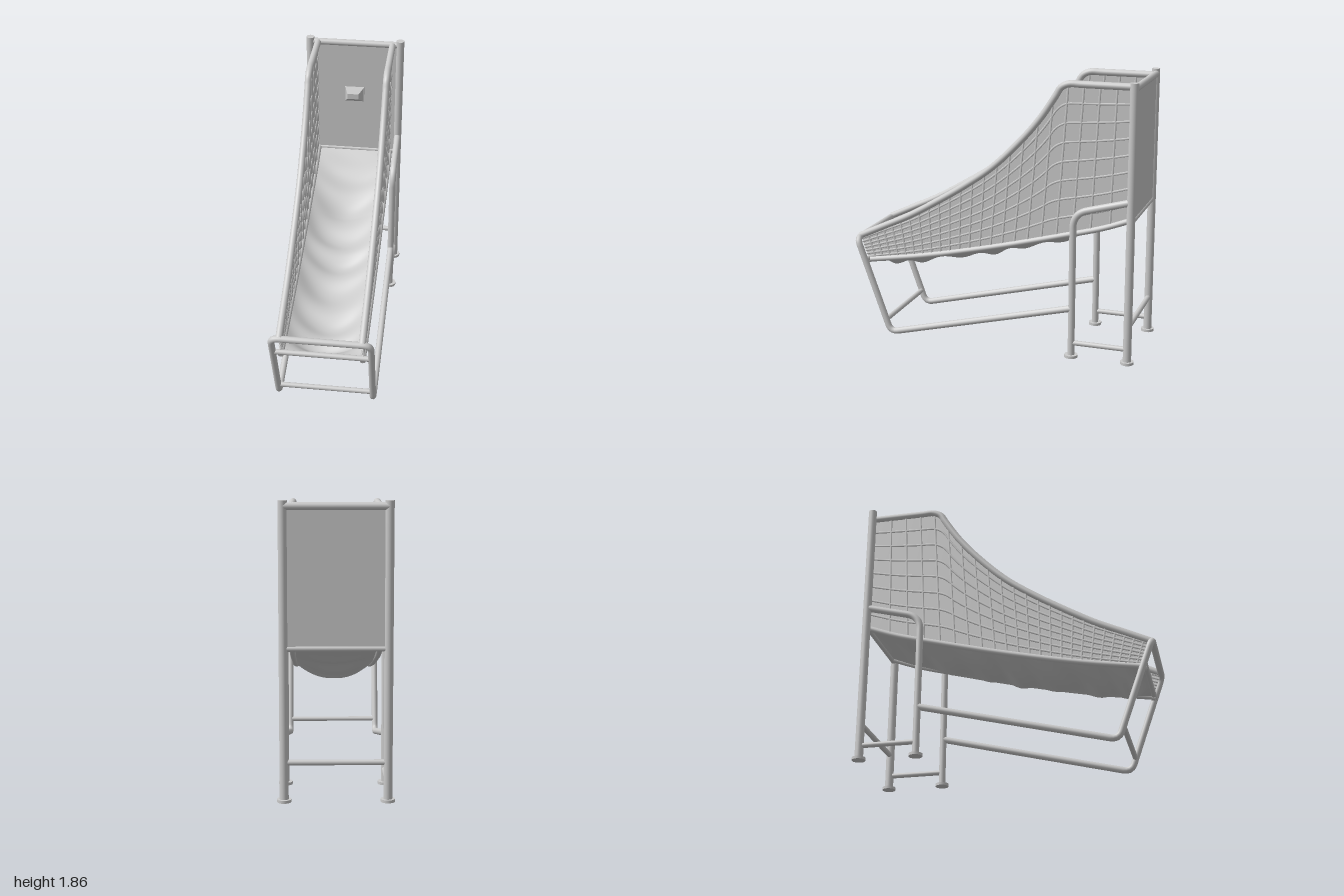
import * as THREE from 'three';

const mat = new THREE.MeshStandardMaterial({ color: 0xcccccc });
const thin = new THREE.MeshStandardMaterial({ color: 0xcccccc, side: THREE.DoubleSide });
const V = (x, y, z) => new THREE.Vector3(x, y, z);

function add(parent, name, geometry, material = mat) {
  const m = new THREE.Mesh(geometry, material);
  m.name = name;
  parent.add(m);
  return m;
}

// Straight capped pipe between two points
function pipe(parent, name, a, b, r) {
  const d = b.clone().sub(a);
  const m = add(parent, name, new THREE.CylinderGeometry(r, r, d.length(), 16));
  m.position.copy(a).addScaledVector(d, 0.5);
  m.quaternion.setFromUnitVectors(V(0, 1, 0), d.normalize());
  return m;
}

// Bent pipe: straight runs joined by rounded corners
function bentPipe(parent, name, pts, r, bend) {
  const path = new THREE.CurvePath();
  let last = pts[0];
  for (let i = 1; i < pts.length - 1; i++) {
    const p = pts[i];
    const a = p.clone().add(pts[i - 1].clone().sub(p).setLength(bend));
    const b = p.clone().add(pts[i + 1].clone().sub(p).setLength(bend));
    path.add(new THREE.LineCurve3(last, a));
    path.add(new THREE.QuadraticBezierCurve3(a, p, b));
    last = b;
  }
  path.add(new THREE.LineCurve3(last, pts[pts.length - 1]));
  return add(parent, name, new THREE.TubeGeometry(path, 220, r, 14));
}

// Smooth surface from f(u, v) -> Vector3
function surface(f, nu, nv) {
  const pos = [], idx = [];
  for (let i = 0; i <= nu; i++)
    for (let j = 0; j <= nv; j++) pos.push(...f(i / nu, j / nv).toArray());
  for (let i = 0; i < nu; i++)
    for (let j = 0; j < nv; j++) {
      const a = i * (nv + 1) + j, b = a + nv + 1;
      idx.push(a, a + 1, b, b, a + 1, b + 1);
    }
  const g = new THREE.BufferGeometry();
  g.setAttribute('position', new THREE.Float32BufferAttribute(pos, 3));
  g.setIndex(idx);
  g.computeVertexNormals();
  return g;
}

// Rail profiles as [z, y]
const topProfile = [[0.97, 0.68], [0.8, 0.76], [0.6, 0.855], [0.4, 0.97], [0.2, 1.095], [0, 1.24],
  [-0.2, 1.435], [-0.33, 1.59], [-0.43, 1.74], [-0.465, 1.795], [-0.52, 1.82], [-0.6, 1.82], [-0.94, 1.82]];
const lowProfile = [[0.92, 0.51], [0.5, 0.58], [0, 0.69], [-0.5, 0.82], [-0.75, 0.89], [-0.94, 0.96]];
const curveOf = (profile, x) => new THREE.CatmullRomCurve3(profile.map(([z, y]) => V(x, y, z)));
const sampler = (profile) => {
  const pts = curveOf(profile, 0).getPoints(300);
  return (z) => {
    let i = 1;
    while (i < pts.length - 1 && pts[i].z > z) i++;
    const a = pts[i - 1], b = pts[i];
    return a.y + (b.y - a.y) * THREE.MathUtils.clamp((z - a.z) / (b.z - a.z), 0, 1);
  };
};
const topY = sampler(topProfile), lowY = sampler(lowProfile);

const RAIL_X = 0.265, POST_X = 0.32, POST_Z = -0.95, LEG_Z = -0.57;

// Point on a side net: t runs front to back, v bottom to top
function netPoint(t, v, x) {
  const zt = 0.97 - 1.91 * (0.65 * t + 0.35 * t * t);
  const zb = zt - 0.06 * (1 - t) + 0.8 * t ** 3 * (1 - t);
  const yb = lowY(zb), yt = topY(zt);
  return V(x, yb + (yt - yb) * v, zb + (zt - zb) * v);
}

function buildSide(s) {
  const g = new THREE.Group();
  g.name = s > 0 ? 'leftSide' : 'rightSide';
  const px = s * POST_X, rx = s * RAIL_X;

  // Rear post, leg and feet
  pipe(g, 'rearPost', V(px, 0, POST_Z), V(px, 1.855, POST_Z), 0.028);
  bentPipe(g, 'leg', [V(px, 0, LEG_Z), V(px, 0.99, LEG_Z), V(px, 1.09, POST_Z + 0.01)], 0.023, 0.1);
  for (const z of [POST_Z, LEG_Z]) {
    pipe(g, 'foot', V(px, 0, z), V(px, 0.018, z), 0.045);
  }
  pipe(g, 'lowerBrace', V(px, 0.1, POST_Z), V(px, 0.1, LEG_Z), 0.017);

  // Rails that hold the net
  add(g, 'topRail', new THREE.TubeGeometry(curveOf(topProfile, rx), 120, 0.023, 14));
  add(g, 'lowerRail', new THREE.TubeGeometry(curveOf(lowProfile, rx), 60, 0.019, 14));
  pipe(g, 'lowerRailEnd', V(rx, 0.503, 0.925), V(rx, 0.51, 0.9), 0.019);

  // Net: backing sheet with raised cords
  add(g, 'netSheet', surface((t, v) => netPoint(t, v, rx), 70, 8), thin);
  const cord = (name, pts) => add(g, name,
    new THREE.TubeGeometry(new THREE.CatmullRomCurve3(pts), pts.length * 2, 0.008, 6));
  const columns = 23, rows = 8;
  for (let i = 1; i < columns; i++) {
    cord('netUpright', [0, 0.25, 0.5, 0.75, 1].map((v) => netPoint(i / columns, v, rx)));
  }
  for (let j = 1; j < rows; j++) {
    const pts = [];
    for (let i = 0; i <= 40; i++) pts.push(netPoint(i / 40, j / rows, rx));
    cord('netRow', pts);
  }
  return g;
}

export function createModel() {
  const model = new THREE.Group();
  model.name = 'ballTossFrame';
  for (const s of [1, -1]) model.add(buildSide(s));

  // Front loop: floor runners rising to the front bar
  const half = [V(POST_X, 0.34, LEG_Z), V(POST_X, 0.015, 0.735), V(POST_X, 0.675, 0.97)];
  const mirrored = half.map((p) => V(-p.x, p.y, p.z)).reverse();
  bentPipe(model, 'frontLoop', [...half, ...mirrored], 0.022, 0.055);

  // Cross bars
  const bars = [['frontLowBar', 0.105, 0.765, 0.017], ['frontSheetBar', 0.52, 0.915, 0.018],
    ['rearLowBar', 0.25, POST_Z, 0.018], ['rearSheetBar', 0.96, POST_Z, 0.018], ['rearTopBar', 1.82, -0.955, 0.023]];
  for (const [name, y, z, r] of bars) pipe(model, name, V(-POST_X, y, z), V(POST_X, y, z), r);

  // Backboard
  add(model, 'backboard', new THREE.BoxGeometry(0.6, 0.86, 0.02)).position.set(0, 1.39, -0.95);

  // Bracket: mounting plate with a tapered arm
  add(model, 'bracketPlate', new THREE.BoxGeometry(0.14, 0.16, 0.012)).position.set(0, 1.4, -0.935);
  const arm = new THREE.BoxGeometry(2, 2, 2);
  const p = arm.attributes.position;
  for (let i = 0; i < p.count; i++) {
    const front = p.getZ(i) > 0, top = p.getY(i) > 0;
    p.setXYZ(i, p.getX(i) * (front ? 0.04 : 0.067), top ? 1.48 : front ? 1.44 : 1.37, front ? -0.825 : -0.93);
  }
  const flatArm = arm.toNonIndexed();
  flatArm.computeVertexNormals();
  add(model, 'bracketArm', flatArm);

  // Sagging cloth bed with curved folds
  add(model, 'clothBed', surface((u, v) => {
    const z = 0.915 - 1.855 * u, w = v * 2 - 1;
    const hang = 1 - w * w;
    const ends = Math.min(1, u / 0.07, (1 - u) / 0.3);
    const phase = (z + 0.12 * w * w) * 25 + 0.6 * Math.sin(z * 9);
    const fold = 0.014 * Math.sin(phase) + 0.007 * Math.sin(z * 11 + 2 * w);
    return V(w * RAIL_X, lowY(z) - hang * ends * (0.092 + fold), z);
  }, 150, 28), thin);

  return model;
}
